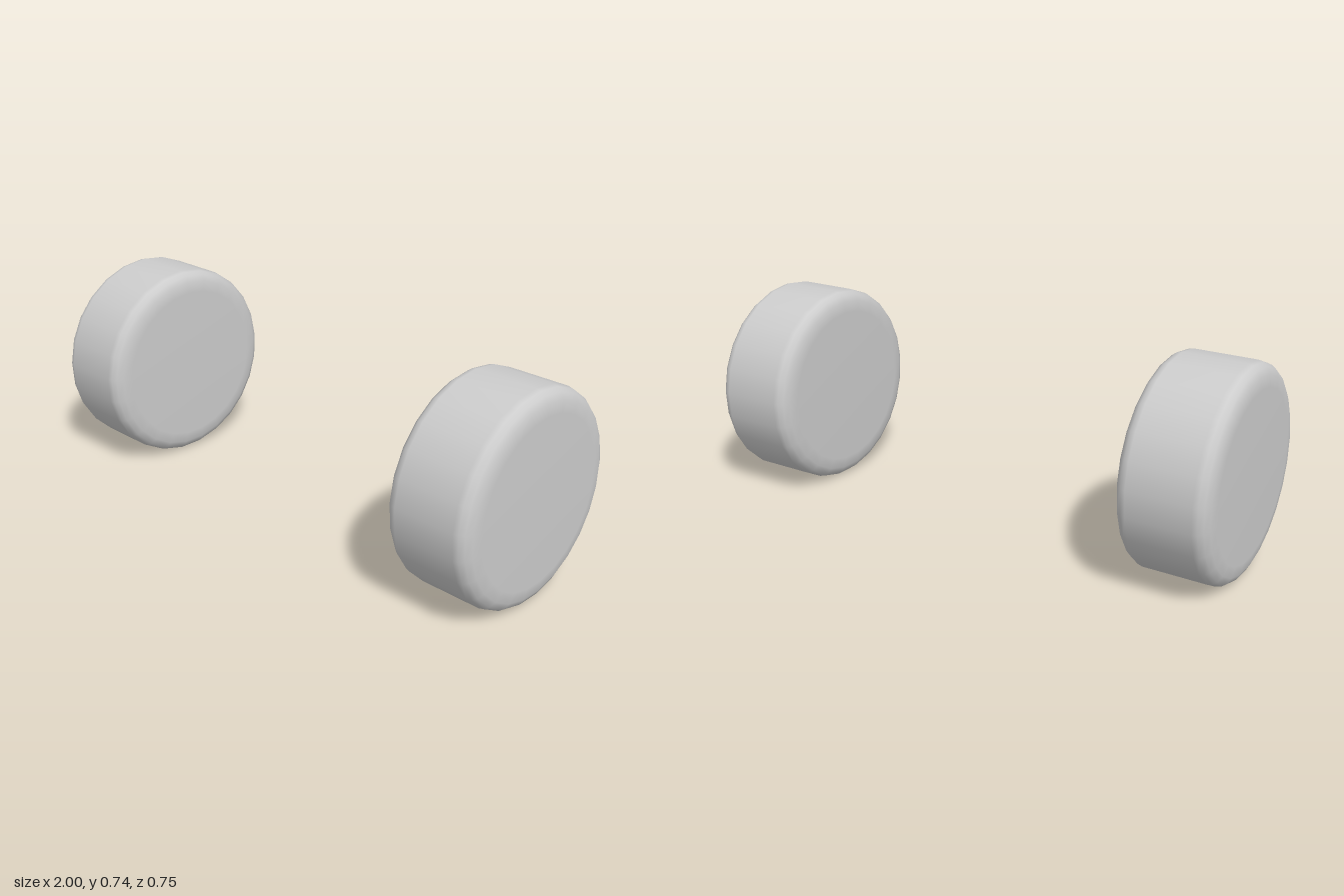
import * as THREE from 'three';

export function createModel() {
  const model = new THREE.Group();
  model.name = 'wheelPair';
  const grey = new THREE.MeshStandardMaterial({ color: 0xcccccc });
  grey.name = 'light grey';

  const sides = 25, radius = 0.3735, halfWidth = 0.164;

  // Half profile of the disc: flat cap, rounded shoulder, tread edge
  const half = [[0, 0], [0.295, 0], [0.335, 0.006], [0.357, 0.018], [0.369, 0.034], [radius, 0.052]];
  const profile = [
    ...half.map(([r, inset]) => new THREE.Vector2(r, inset - halfWidth)),
    ...half.slice().reverse().map(([r, inset]) => new THREE.Vector2(r, halfWidth - inset)),
  ];

  // Axle along x, one corner of the polygon pointing straight up
  const geometry = new THREE.LatheGeometry(profile, sides, Math.PI / 2);
  geometry.rotateZ(Math.PI / 2);

  for (const [name, side] of [['leftWheel', 1], ['rightWheel', -1]]) {
    const wheel = new THREE.Mesh(geometry, grey);
    wheel.name = name;
    wheel.position.set(side * (1 - halfWidth), radius * Math.cos(Math.PI / sides), 0);
    model.add(wheel);
  }
  return model;
}
